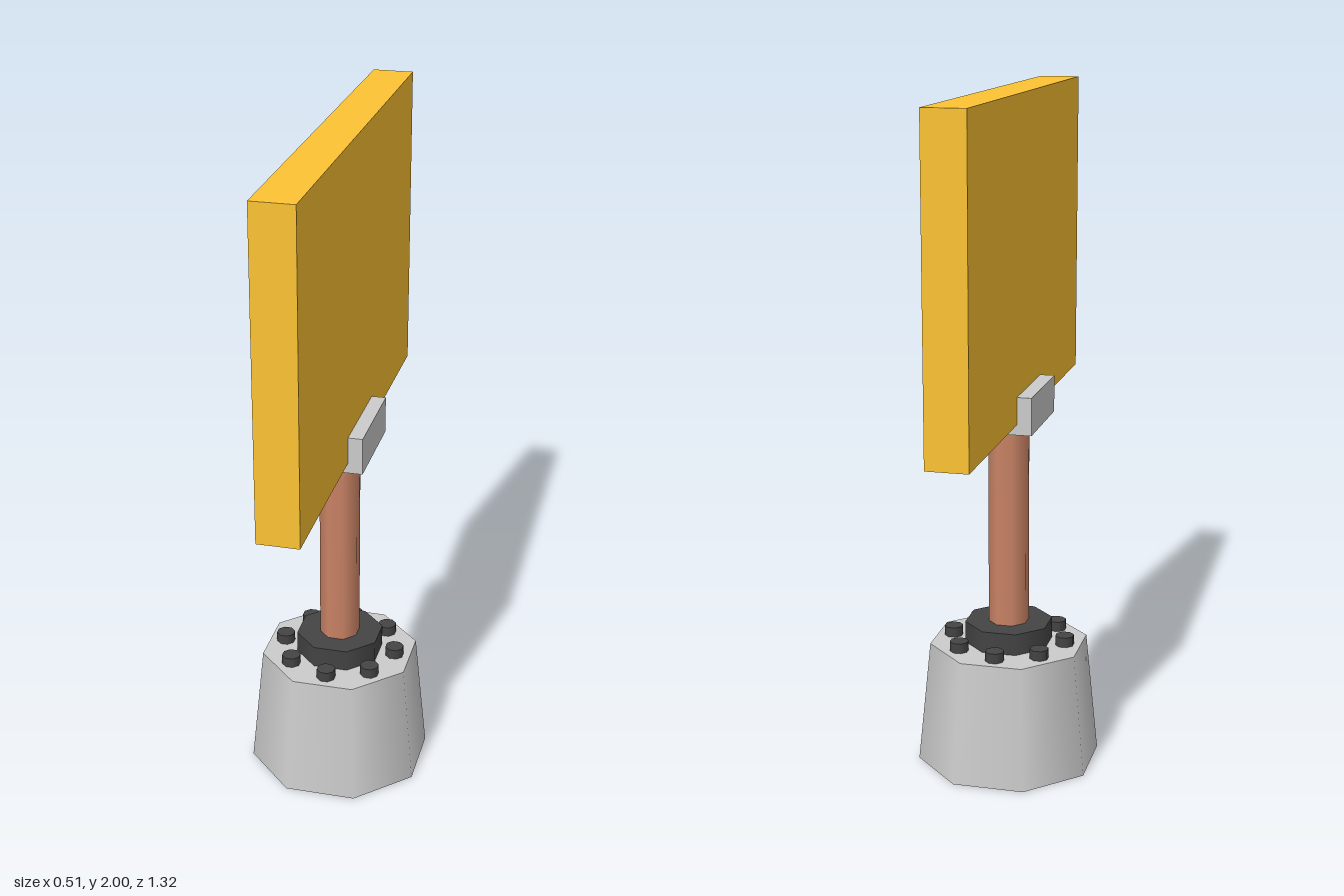
import * as THREE from 'three';

const SIDES = 8;
const CORNER = Math.cos(Math.PI / SIDES); // flat-to-centre over corner-to-centre

const paint = (color, side = THREE.FrontSide) => new THREE.MeshStandardMaterial({ color, side });

function add(parent, name, geometry, material, x, y, z) {
  const mesh = new THREE.Mesh(geometry, material);
  mesh.name = name;
  mesh.position.set(x, y, z);
  parent.add(mesh);
  return mesh;
}

// Octagonal prism with its flats facing the axes, sized across the flats
function octagon(topFlat, bottomFlat, height, open = false) {
  return new THREE.CylinderGeometry(topFlat / CORNER, bottomFlat / CORNER, height, SIDES, 1, open)
    .rotateY(Math.PI / SIDES);
}

export function createModel() {
  const model = new THREE.Group();
  model.name = 'signPost';
  const grey = paint(0xcccccc, THREE.DoubleSide);
  const dark = paint(0x444444);

  // Tapered footing, hollow underneath, closed on top
  const footing = new THREE.Group();
  footing.name = 'footing';
  model.add(footing);
  add(footing, 'footingWall', octagon(0.22, 0.255, 0.37, true), grey, 0, 0.185, 0);
  const lid = new THREE.CircleGeometry(0.22 / CORNER, SIDES)
    .rotateX(-Math.PI / 2).rotateY(Math.PI / SIDES);
  add(footing, 'footingTop', lid, grey, 0, 0.37, 0);

  // Flange and its ring of bolts
  add(model, 'flange', octagon(0.122, 0.122, 0.065), dark, 0, 0.4025, 0);
  const bolts = new THREE.Group();
  bolts.name = 'bolts';
  model.add(bolts);
  const boltShape = octagon(0.026, 0.026, 0.03);
  for (let i = 0; i < 8; i++) {
    const a = i * Math.PI / 4;
    add(bolts, 'bolt', boltShape, dark, 0.172 * Math.cos(a), 0.385, 0.172 * Math.sin(a));
  }

  // Pole
  add(model, 'pole', octagon(0.056, 0.056, 0.64), paint(0xc98365), 0, 0.74, 0);

  // Bracket holding the panel's lower edge
  add(model, 'bracket', new THREE.BoxGeometry(0.205, 0.11, 0.295), grey, 0, 1.105, 0);

  // Panel
  add(model, 'panel', new THREE.BoxGeometry(0.12, 0.92, 1.32), paint(0xfdc333), 0, 1.54, 0);

  return model;
}
